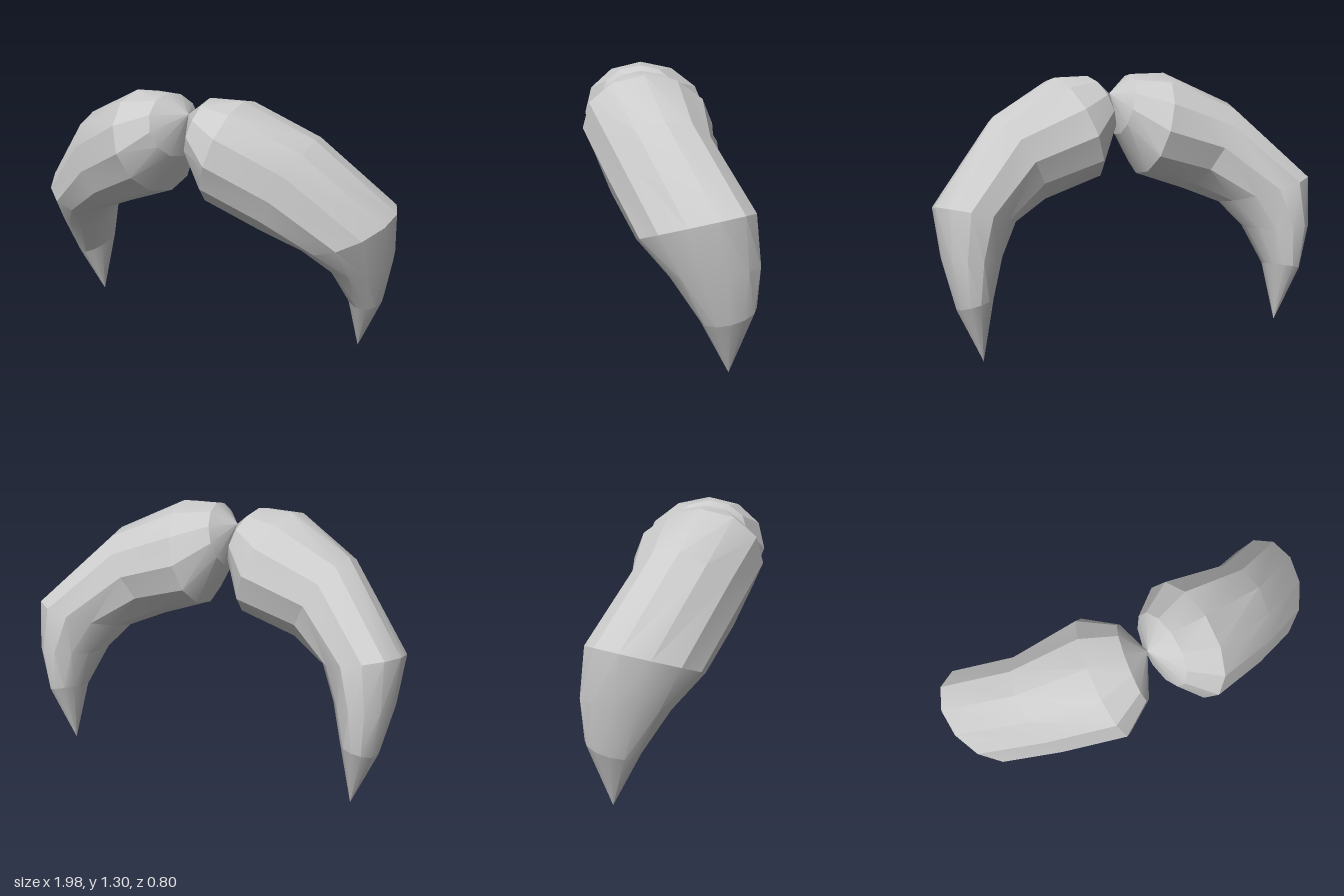
import * as THREE from 'three';
import { toCreasedNormals } from 'three/addons/utils/BufferGeometryUtils.js';

const SIDES = 12;
const APEX = [0, 1.21, 0.11];
const TIP = [0.8, 0, -0.265];

// Cross-sections along one half: centre, radius toward the outer/top edge, radius toward the front
const RINGS = [
  { c: [0.075, 1.15, 0.11], u: [0.045, 0.155, 0], v: [0.025, 0, 0.2] },
  { c: [0.215, 1.048, 0.08], u: [0.085, 0.257, 0.02], v: [0.025, -0.005, 0.317] },
  { c: [0.52, 0.915, 0.035], u: [0.12, 0.225, -0.015], v: [0.015, -0.03, 0.255] },
  { c: [0.785, 0.69, -0.11], u: [0.205, 0.075, -0.09], v: [0.03, -0.045, 0.25] },
  { c: [0.826, 0.505, -0.195], u: [0.148, 0.01, -0.04], v: [0.01, -0.03, 0.203] },
  { c: [0.833, 0.295, -0.257], u: [0.088, -0.022, 0], v: [0, -0.03, 0.128] },
];

const ringPoints = ({ c, u, v }) => Array.from({ length: SIDES }, (_, j) => {
  const a = (j / SIDES) * Math.PI * 2;
  return c.map((n, k) => n + u[k] * Math.cos(a) + v[k] * Math.sin(a));
});

// Skin a list of rings; a ring whose points coincide closes to a point
function loft(rings, side) {
  const positions = [], index = [];
  rings.forEach(ring => ring.forEach(([x, y, z]) => positions.push(x * side, y, z)));
  const tri = (a, b, c) => (side > 0 ? index.push(a, b, c) : index.push(a, c, b));
  const closed = ring => ring[0] === ring[1];
  for (let i = 0; i < rings.length - 1; i++) {
    for (let j = 0; j < SIDES; j++) {
      const k = (j + 1) % SIDES;
      const a = i * SIDES + j, b = i * SIDES + k;
      if (!closed(rings[i])) tri(a, b, a + SIDES);
      if (!closed(rings[i + 1])) tri(b, b + SIDES, a + SIDES);
    }
  }
  const geometry = new THREE.BufferGeometry();
  geometry.setAttribute('position', new THREE.Float32BufferAttribute(positions, 3));
  geometry.setIndex(index);
  geometry.computeVertexNormals();
  return geometry;
}

export function createModel() {
  const model = new THREE.Group();
  model.name = 'moustache';
  const material = new THREE.MeshStandardMaterial({ color: 0xcccccc });
  const rings = RINGS.map(ringPoints);
  const point = p => Array(SIDES).fill(p);

  for (const side of [1, -1]) {
    const half = new THREE.Group();
    half.name = side > 0 ? 'leftHalf' : 'rightHalf';
    const add = (name, geometry) => {
      const mesh = new THREE.Mesh(geometry, material);
      mesh.name = name;
      half.add(mesh);
    };
    // Faceted drooping lobe
    add('lobe', toCreasedNormals(loft(rings, side), 0.42));
    // Smooth cones: the pinch at the middle and the pointed end
    add('centrePinch', loft([point(APEX), rings[0]], side));
    add('pointedTip', loft([rings.at(-1), point(TIP)], side));
    model.add(half);
  }
  return model;
}
